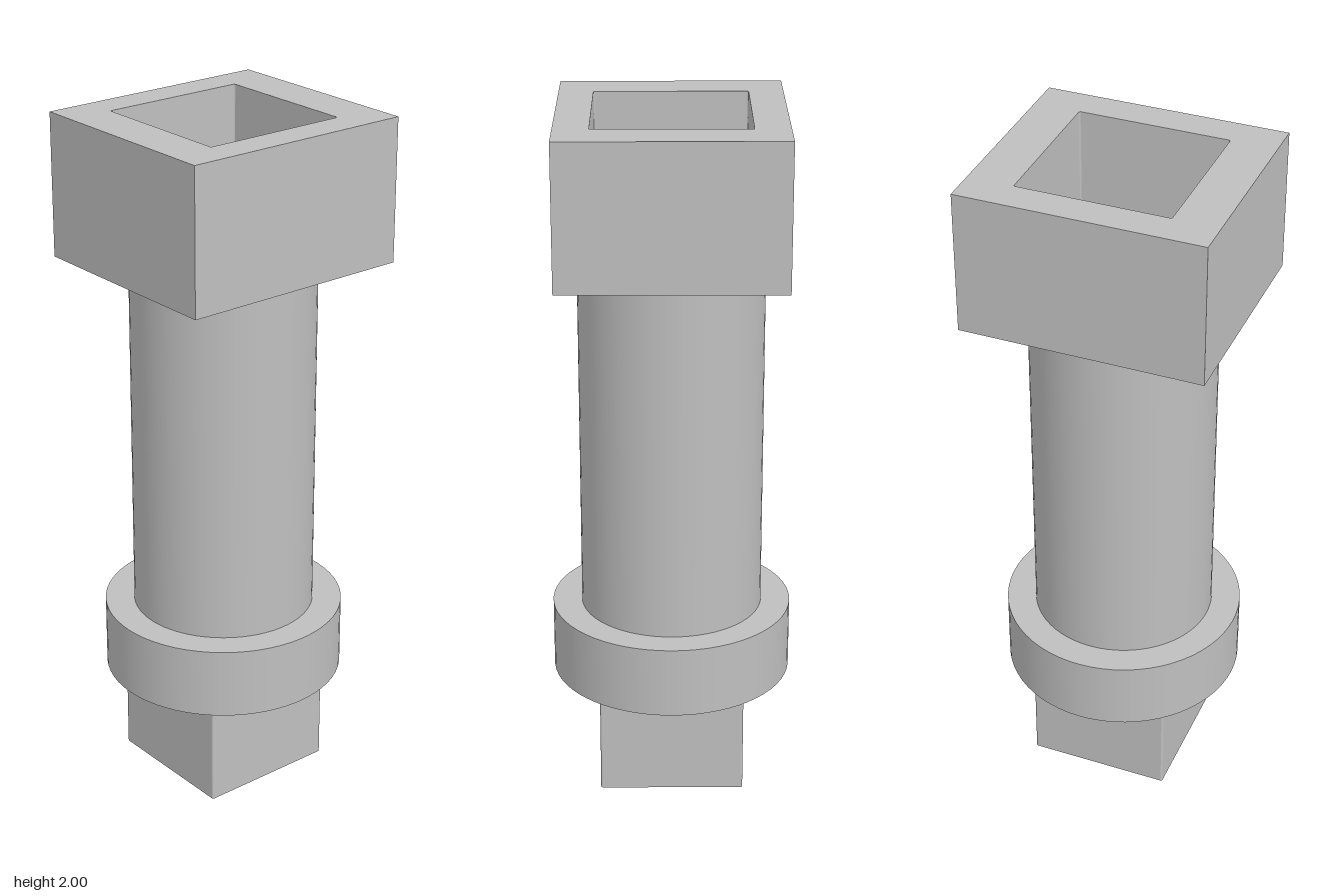
import * as THREE from 'three';

// Square or rectangular outline with optional tiny corner radius
function outline(path, hx, hz, r) {
  path.moveTo(-hx + r, -hz);
  path.lineTo(hx - r, -hz);
  if (r) path.absarc(hx - r, -hz + r, r, -Math.PI / 2, 0);
  path.lineTo(hx, hz - r);
  if (r) path.absarc(hx - r, hz - r, r, 0, Math.PI / 2);
  path.lineTo(-hx + r, hz);
  if (r) path.absarc(-hx + r, hz - r, r, Math.PI / 2, Math.PI);
  path.lineTo(-hx, -hz + r);
  if (r) path.absarc(-hx + r, -hz + r, r, Math.PI, Math.PI * 1.5);
  return path;
}

export function createModel() {
  const group = new THREE.Group();
  const grey = new THREE.MeshStandardMaterial({ color: 0xbfbfbf });
  grey.name = 'grey';

  const add = (name, geometry, y) => {
    const mesh = new THREE.Mesh(geometry, grey);
    mesh.name = name;
    mesh.position.y = y;
    group.add(mesh);
  };
  // Extrudes an outline upwards from y = 0
  const prism = (shape, height) =>
    new THREE.ExtrudeGeometry(shape, { depth: height, bevelEnabled: false, curveSegments: 3 })
      .rotateX(-Math.PI / 2);

  const headX = 0.316, headZ = 0.35, headBottom = 1.585, socketFloor = 1.67;

  // Square plug at the foot
  add('plug', prism(outline(new THREE.Shape(), 0.21, 0.21, 0.006), 0.322), 0);

  // Round collar and shaft
  add('collar', new THREE.CylinderGeometry(0.35, 0.35, 0.208, 64), 0.426);
  add('shaft', new THREE.CylinderGeometry(0.265, 0.265, headBottom - 0.53, 64, 1, true), (headBottom + 0.53) / 2);

  // Head: solid base below a square socket
  add('headBase', new THREE.BoxGeometry(headX * 2, socketFloor - headBottom, headZ * 2), (socketFloor + headBottom) / 2);
  const wall = outline(new THREE.Shape(), headX, headZ, 0);
  wall.holes.push(outline(new THREE.Path(), 0.218, 0.218, 0.005));
  add('socketWall', prism(wall, 2 - socketFloor), socketFloor);

  return group;
}
